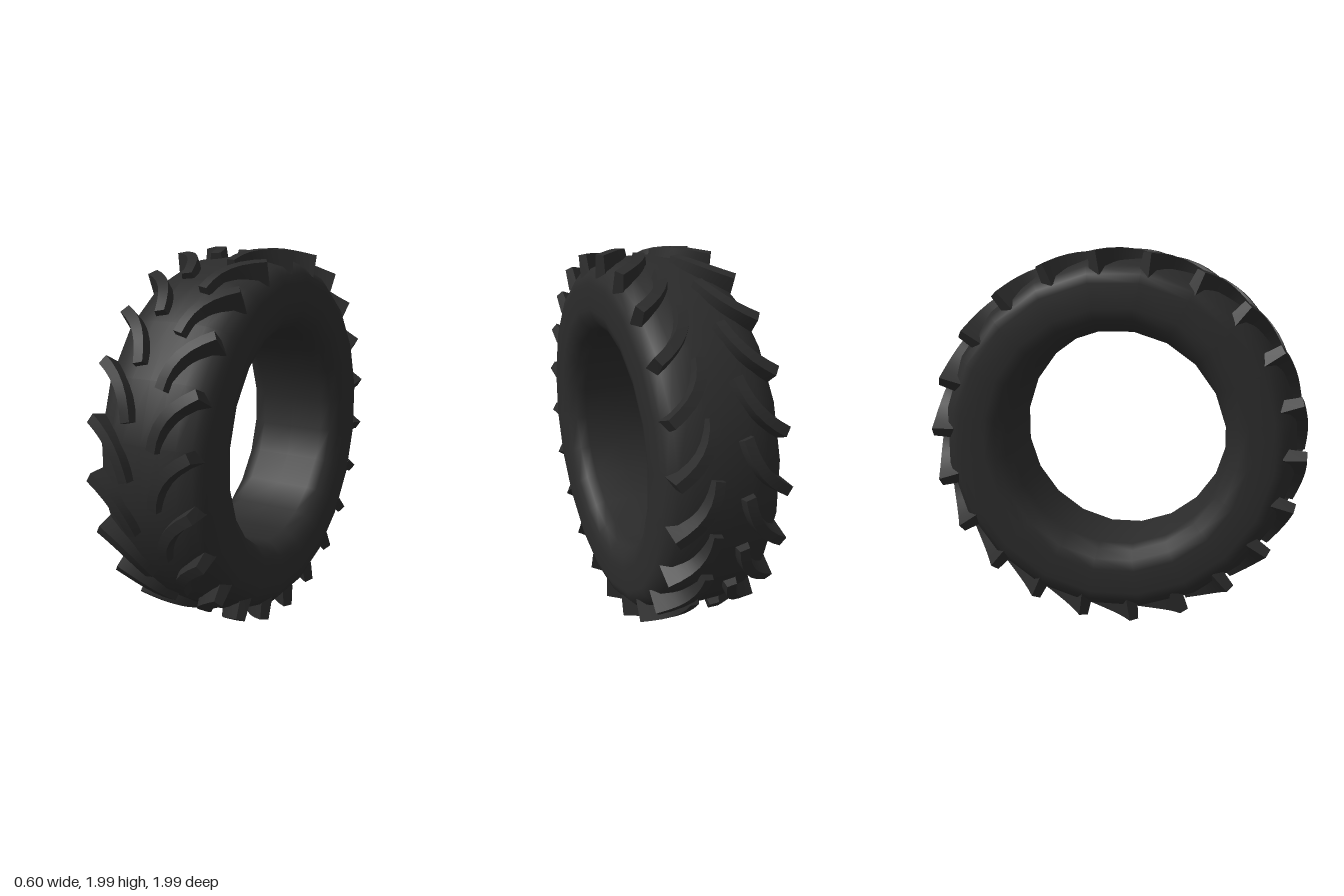
import * as THREE from 'three';
import { toCreasedNormals } from 'three/addons/utils/BufferGeometryUtils.js';

const SIDES = 20;
const LUGS = 22;
const PITCH = (Math.PI * 2) / LUGS;

const rubber = new THREE.MeshStandardMaterial({ color: 0x2b2b2b });

// Closed ring profile (radius, half width), mirrored across the centre plane
function carcassGeometry() {
  const half = [
    [0.957, 0], [0.955, 0.1], [0.942, 0.18], [0.915, 0.25], [0.875, 0.287],
    [0.83, 0.3], [0.7, 0.3], [0.645, 0.285], [0.6, 0.245], [0.58, 0.19], [0.58, 0],
  ];
  const points = [
    ...half.slice(1).reverse().map(([r, w]) => new THREE.Vector2(r, -w)),
    ...half.map(([r, w]) => new THREE.Vector2(r, w)),
  ];
  const geo = new THREE.LatheGeometry(points, SIDES, Math.PI / SIDES);
  return geo.rotateZ(-Math.PI / 2);
}

// Curved tread bar swept over the drum: path in (across, around) coordinates
function lugGeometry(side, angleOffset) {
  const path = new THREE.CatmullRomCurve3(
    [[0.076, -0.135], [0.096, -0.055], [0.138, 0.02], [0.2, 0.083], [0.278, 0.135]]
      .map(([x, s]) => new THREE.Vector3(x, s, 0)));
  const steps = 6;
  const pos = [];
  const index = [];
  const tri = (a, b, c) => index.push(...(side > 0 ? [a, b, c] : [a, c, b]));

  for (let i = 0; i <= steps; i++) {
    const t = i / steps;
    const p = path.getPoint(t);
    const d = path.getTangent(t);
    const top = 0.984 + 0.012 * Math.sin(Math.PI * t);
    const base = 0.925 - 0.06 * t * t;
    // left base, left top, right top, right base
    for (const [w, r] of [[0.037, base], [0.025, top], [-0.025, top], [-0.037, base]]) {
      const x = Math.min(p.x - d.y * w, 0.292);
      const a = (p.y + d.x * w) / 0.95 + angleOffset;
      pos.push(side * x, r * Math.sin(a), r * Math.cos(a));
    }
  }
  for (let i = 0; i < steps; i++) {
    for (let j = 0; j < 4; j++) {
      const k = (j + 1) % 4;
      const a = i * 4 + j, b = i * 4 + k;
      tri(a, b, b + 4);
      tri(a, b + 4, a + 4);
    }
  }
  // end caps
  const e = steps * 4;
  tri(3, 2, 1);
  tri(3, 1, 0);
  tri(e, e + 1, e + 2);
  tri(e, e + 2, e + 3);

  const geo = new THREE.BufferGeometry();
  geo.setAttribute('position', new THREE.Float32BufferAttribute(pos, 3));
  geo.setIndex(index);
  return toCreasedNormals(geo, Math.PI / 6);
}

export function createModel() {
  const model = new THREE.Group();
  model.name = 'tractorTyre';

  const carcass = new THREE.Mesh(carcassGeometry(), rubber);
  carcass.name = 'carcass';
  carcass.position.y = 1;
  model.add(carcass);

  // Two rows of lugs, staggered by about half a pitch
  for (const [name, side, offset] of [['leftLugs', 1, 0], ['rightLugs', -1, -PITCH / 2 - 0.03]]) {
    const row = new THREE.Group();
    row.name = name;
    row.position.y = 1;
    const geo = lugGeometry(side, offset);
    for (let i = 0; i < LUGS; i++) {
      const lug = new THREE.Mesh(geo, rubber);
      lug.name = 'treadLug';
      lug.rotation.x = i * PITCH;
      row.add(lug);
    }
    model.add(row);
  }
  return model;
}
